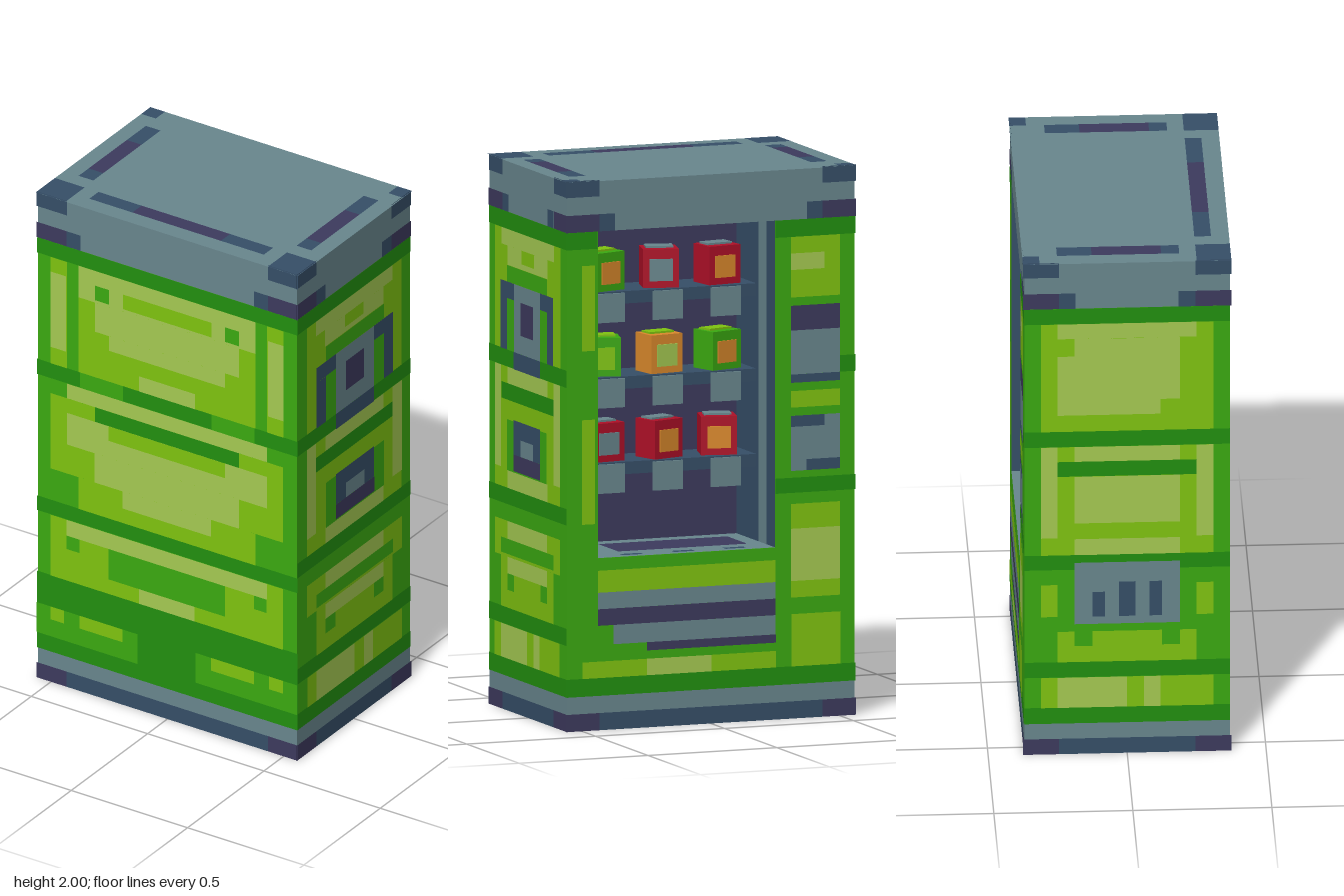
import * as THREE from 'three';

const mat = (name, color) => Object.assign(new THREE.MeshStandardMaterial({ color }), { name });
const M = {
  D: mat('darkGreen', 0x22900f), G: mat('midGreen', 0x3baa11), L: mat('lime', 0x80c410),
  P: mat('paleLime', 0xa6cb52), S: mat('slate', 0x69878e), N: mat('navy', 0x364f68),
  V: mat('purple', 0x3d3a5e), R: mat('red', 0xb01028), O: mat('orange', 0xdc8a2c),
};

// Box given by its min and max corners
function box(parent, name, m, x0, x1, y0, y1, z0, z1) {
  const mesh = new THREE.Mesh(new THREE.BoxGeometry(x1 - x0, y1 - y0, z1 - z0), M[m]);
  mesh.position.set((x0 + x1) / 2, (y0 + y1) / 2, (z0 + z1) / 2);
  mesh.name = name;
  parent.add(mesh);
  return mesh;
}

// Thin painted panels on one face; each row is [colour, u0, u1, v0, v1].
// A key ending in 2 is mirrored in u; later rows lie over earlier ones.
function paint(parent, name, pos, rot, rows) {
  const g = new THREE.Group();
  g.name = name;
  g.position.set(...pos);
  g.rotation.set(...rot);
  rows.forEach(([k, u0, u1, v0, v1], i) => {
    const add = (a, b) => {
      const p = new THREE.Mesh(new THREE.PlaneGeometry(b - a, v1 - v0), M[k[0]]);
      p.position.set((a + b) / 2, (v0 + v1) / 2, 0.0006 + i * 0.00015);
      p.name = name + 'Panel';
      g.add(p);
    };
    add(u0, u1);
    if (k[1] === '2') add(-u1, -u0);
  });
  parent.add(g);
}

// Cap and base trim shared by the four upright faces, w = half width
const trim = (w) => [
  ['N2', w - 0.13, w, 1.94, 2], ['V2', w - 0.13, w, 1.8125, 1.875],
  ['N2', w - 0.19, w - 0.13, 1.8125, 1.875],
  ['N', -w, w, 0, 0.0625], ['V2', w - 0.13, w, 0, 0.0625],
];

const FRONT = [
  ['D', -0.56, 0.56, 1.75, 1.8125], ['D2', 0.375, 0.56, 1.25, 1.3125], ['D', -0.19, 0.19, 1.25, 1.3125],
  ['D', -0.56, 0.56, 0.69, 0.75], ['D', -0.56, 0.56, 0.125, 0.44],
  // upper panel
  ['L', -0.38, 0.38, 1.3125, 1.75], ['P', -0.38, 0.38, 1.62, 1.75], ['P', -0.31, 0.31, 1.5, 1.62],
  ['P', -0.25, 0.25, 1.44, 1.5], ['L', -0.19, 0.19, 1.63, 1.69], ['G2', 0.25, 0.31, 1.63, 1.69],
  ['P', -0.12, 0.12, 1.3125, 1.375], ['L2', 0.43, 0.5, 1.3125, 1.75], ['P2', 0.435, 0.5, 1.38, 1.69],
  // middle panel
  ['P', -0.43, 0.43, 1.19, 1.25], ['L', -0.5, 0.5, 0.88, 1.19], ['L', -0.38, 0.38, 0.75, 0.88],
  ['D', -0.31, 0.31, 1.13, 1.19], ['P', -0.43, 0.43, 1, 1.13], ['P', -0.31, 0.31, 0.88, 1],
  ['P', -0.19, 0.19, 0.81, 0.88], ['L', -0.25, 0.25, 1.07, 1.13],
  // lower panel
  ['L', -0.5, 0.5, 0.44, 0.69], ['P', -0.43, 0.43, 0.625, 0.69], ['G', -0.25, 0.25, 0.5, 0.625],
  ['P', -0.12, 0.12, 0.44, 0.5], ['G2', 0.375, 0.43, 0.57, 0.625],
  ['G2', 0.125, 0.56, 0.19, 0.3125], ['L2', 0.19, 0.375, 0.26, 0.3125], ['L2', 0.44, 0.5, 0.26, 0.3125],
];

// Green panelling common to both narrow sides
const SIDE = [
  ['D', -0.37, 0.37, 1.75, 1.8125], ['D', -0.37, 0.37, 1.25, 1.3125], ['D', -0.37, 0.37, 0.75, 0.81],
  ['D', -0.37, 0.37, 0.3125, 0.375], ['D', -0.37, 0.37, 0.125, 0.19],
  ['L', -0.31, 0.31, 1.3125, 1.75], ['P', -0.25, 0.25, 1.69, 1.75], ['P', -0.19, 0.19, 1.62, 1.69],
  ['L', -0.06, 0.06, 1.64, 1.69],
  ['L', -0.31, 0.31, 0.81, 1.25], ['P', -0.19, 0.19, 1.19, 1.25], ['D', -0.25, 0.25, 1.13, 1.19],
  ['P2', 0.25, 0.31, 0.88, 1.25], ['P', -0.19, 0.19, 0.81, 0.875],
  ['L', -0.31, 0.31, 0.56, 0.69], ['L', -0.25, 0.25, 0.375, 0.56], ['P', -0.19, 0.19, 0.625, 0.69],
  ['G', -0.25, 0.25, 0.57, 0.625], ['P', -0.19, 0.19, 0.5, 0.56], ['G2', 0.125, 0.19, 0.44, 0.5],
  ['L', -0.31, 0.31, 0.19, 0.3125], ['P', -0.25, 0, 0.19, 0.3125], ['P', 0.06, 0.12, 0.19, 0.3125],
];

const RIGHT = [
  // lever bracket
  ['G', -0.19, 0.19, 1.56, 1.62], ['G2', 0.125, 0.19, 1.3125, 1.5], ['N2', 0.125, 0.25, 1.5, 1.56],
  ['N2', 0.19, 0.25, 1.3125, 1.5], ['S', -0.125, 0.125, 1.3125, 1.56], ['V', -0.06, 0.06, 1.38, 1.5],
  ['N', -0.125, 0.125, 1.25, 1.3125],
  // coin return
  ['G', -0.19, 0.19, 0.875, 1.06], ['N', -0.125, 0.125, 0.94, 1.065], ['S', -0.06, 0.06, 0.94, 1],
  ['V', -0.125, 0.125, 0.88, 0.94],
];

const LEFT = [
  ['P', -0.19, 0.19, 1.44, 1.69], ['P', -0.25, 0.12, 1.38, 1.62], ['P', -0.19, 0.19, 0.94, 1.13],
  // vent
  ['G', -0.25, 0.25, 0.5, 0.75], ['S', -0.19, 0.19, 0.53, 0.78], ['N', -0.125, -0.08, 0.56, 0.66],
  ['N', -0.03, 0.03, 0.56, 0.7], ['N', 0.08, 0.125, 0.56, 0.7],
];

const BACK = [
  ['D', 0.25, 0.56, 1.75, 1.8125], ['D', -0.56, -0.44, 1.75, 1.8125],
  ['D', -0.56, 0.56, 0.125, 0.19], ['D', 0.5, 0.56, 1.25, 1.31], ['D', 0.25, 0.56, 0.82, 0.875],
  ['L', -0.5, -0.45, 1.38, 1.69], ['L', -0.5, -0.45, 0.75, 1.13],
  // control column
  ['L', 0.31, 0.5, 1.53, 1.75], ['P', 0.31, 0.44, 1.63, 1.69], ['V', 0.31, 0.5, 1.41, 1.5],
  ['S', 0.31, 0.5, 1.25, 1.41], ['N', 0.31, 0.5, 1.22, 1.25], ['L', 0.31, 0.5, 1.13, 1.19],
  ['S', 0.31, 0.5, 0.9, 1.1], ['N', 0.31, 0.44, 1.06, 1.1], ['N', 0.37, 0.5, 0.9, 0.94],
  ['L', 0.31, 0.5, 0.44, 0.78], ['P', 0.31, 0.5, 0.5, 0.69],
  // delivery flap and kick panel
  ['L', -0.44, 0.25, 0.5, 0.58], ['S', -0.44, 0.25, 0.44, 0.5], ['V', -0.44, 0.25, 0.38, 0.44],
  ['S', -0.38, 0.25, 0.31, 0.38], ['V', -0.25, 0.25, 0.28, 0.31],
  ['L', -0.5, 0.25, 0.19, 0.25], ['P', -0.25, 0, 0.19, 0.25], ['L', 0.31, 0.5, 0.19, 0.38],
];

// Snack pack standing on a shelf, with label and top
function snack(parent, x, y, turn, body, label) {
  const g = new THREE.Group();
  g.name = 'snack';
  box(g, 'pack', body, -0.065, 0.065, 0, 0.14, -0.055, 0.055);
  box(g, 'packLabel', label, -0.042, 0.042, 0.025, 0.105, -0.06, -0.054);
  box(g, 'packTop', body === 'R' ? 'S' : 'L', -0.05, 0.05, 0.139, 0.147, -0.02, 0.04);
  g.position.set(x, y, -0.11);
  g.rotation.y = turn;
  parent.add(g);
}

export function createModel() {
  const root = new THREE.Group();
  root.name = 'vendingMachine';
  const W = 0.5575, Z = 0.37;

  // Cabinet shell around the open compartment
  box(root, 'cap', 'S', -W, W, 1.8125, 1.995, -Z, Z);
  box(root, 'base', 'S', -W, W, 0.005, 0.125, -Z, Z);
  box(root, 'cabinetBody', 'G', -W, W, 0.125, 1.8125, 0, Z);
  box(root, 'lowerCabinet', 'G', -W, W, 0.125, 0.625, -Z, 0);
  box(root, 'leftFrame', 'G', 0.4375, W, 0.625, 1.8125, -Z, 0);
  box(root, 'controlColumn', 'G', -W, -0.25, 0.625, 1.8125, -Z, 0);

  // Painted outer faces
  const q = Math.PI / 2;
  paint(root, 'front', [0, 0, Z], [0, 0, 0], [...trim(0.5625), ...FRONT]);
  paint(root, 'back', [0, 0, -Z], [0, Math.PI, 0], [...trim(0.5625), ...BACK]);
  paint(root, 'rightSide', [W, 0, 0], [0, q, 0], [...trim(0.375), ...SIDE, ...RIGHT]);
  paint(root, 'leftSide', [-W, 0, 0], [0, -q, 0], [...trim(0.375), ...SIDE, ...LEFT]);
  paint(root, 'top', [0, 1.997, 0], [-q, 0, 0], [
    ['S', -0.5625, 0.5625, -0.375, 0.375],
    ['N2', 0.5, 0.5625, 0.315, 0.375], ['N2', 0.435, 0.5625, -0.375, -0.25],
    ['N2', 0.437, 0.5, -0.19, 0.25], ['V2', 0.437, 0.5, -0.125, 0.125],
    ['N', -0.375, 0.375, -0.31, -0.25], ['V', -0.19, 0.19, -0.31, -0.25],
  ]);
  paint(root, 'underside', [0, 0.004, 0], [q, 0, 0], [
    ['V', -0.5625, 0.5625, -0.375, 0.375], ['N', -0.44, 0.44, -0.25, 0.25], ['N', -0.38, 0.38, -0.31, 0.31],
    ['S', 0.12, 0.22, -0.2, -0.15], ['S', -0.25, -0.12, 0.03, 0.09], ['S', -0.06, 0, 0.1, 0.13],
  ]);

  // Compartment lining
  paint(root, 'compartmentRear', [0, 0, 0], [0, Math.PI, 0], [['V', -0.4375, 0.25, 0.625, 1.8125]]);
  const wall = [['N', -0.37, 0, 0.625, 1.8125], ['S', -0.29, -0.21, 0.625, 1.8125]];
  paint(root, 'compartmentLeft', [0.4375, 0, 0], [0, -q, 0], wall);
  paint(root, 'compartmentRight', [-0.25, 0, 0], [0, q, 0], wall.map(([k, a, b, c, d]) => [k, -b, -a, c, d]));
  paint(root, 'compartmentCeiling', [0, 1.8125, 0], [q, 0, 0], [
    ['N', -0.25, 0.4375, -0.37, 0], ['V', -0.2, 0.38, -0.3, -0.2]]);
  paint(root, 'compartmentFloor', [0, 0.625, 0], [-q, 0, 0], [
    ['S', -0.25, 0.4375, 0, 0.37], ['V', -0.19, 0.31, 0.06, 0.25],
    ['N', 0.25, 0.33, 0.31, 0.34], ['N', 0.05, 0.13, 0.31, 0.34], ['N', -0.15, -0.07, 0.31, 0.34]]);

  // Shelves, price tags and snacks
  const stock = [
    [1.56, 'GO', 'RS', 'RO'],
    [1.25, 'GL', 'OP', 'GO'],
    [0.94, 'RS', 'RO', 'RO'],
  ];
  stock.forEach(([y, ...packs], r) => {
    box(root, 'shelf', 'N', -0.25, 0.4375, y - 0.045, y, -0.1875, 0);
    packs.forEach((p, i) => {
      const x = 0.32 - i * 0.225;
      box(root, 'priceTag', 'S', x - 0.058, x + 0.058, y - 0.11, y - 0.005, -0.197, -0.188);
      snack(root, x, y, [0.3, -0.25, 0.15][(i + r) % 3], p[0], p[1]);
    });
  });
  return root;
}
